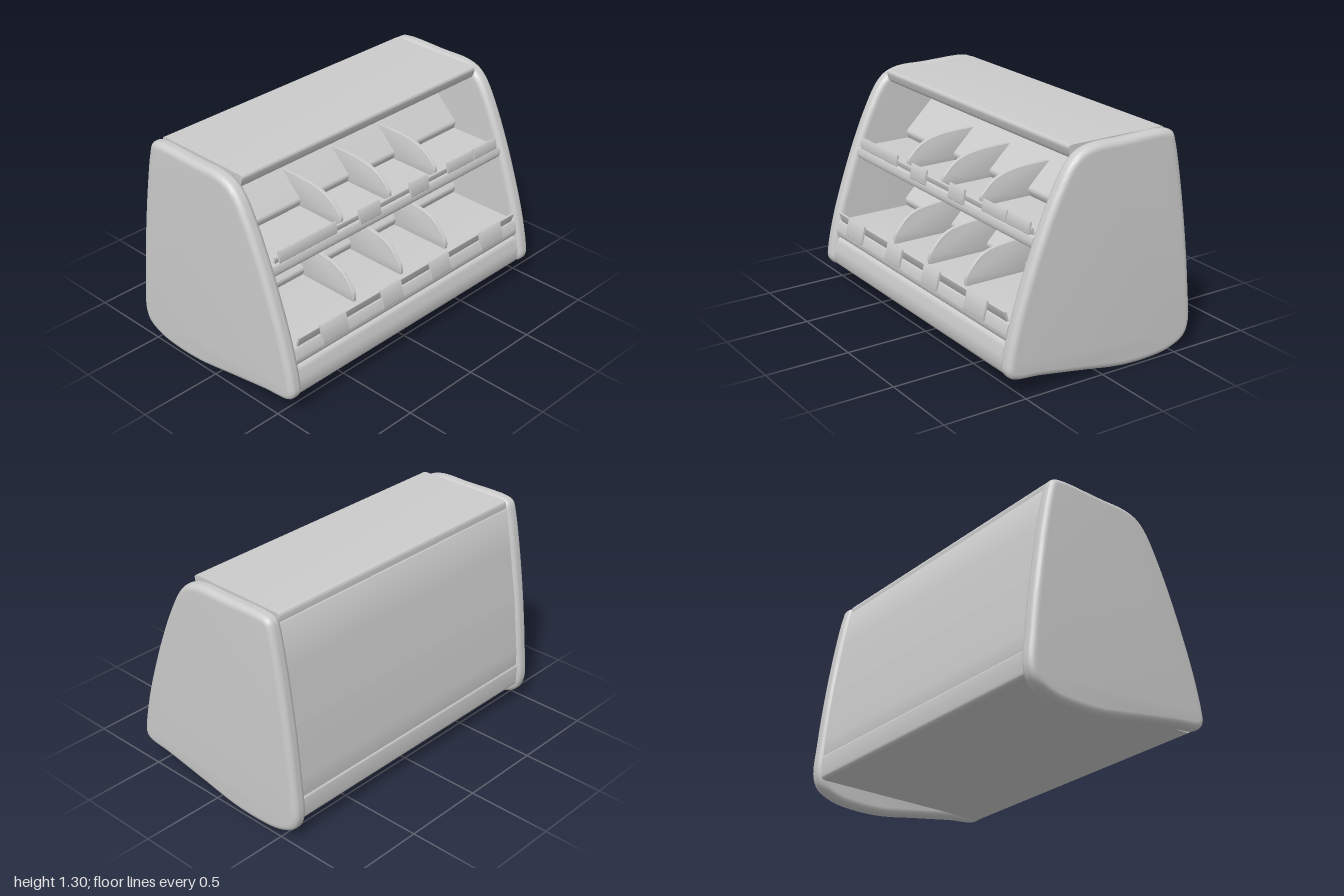
import * as THREE from 'three';
import { toCreasedNormals } from 'three/addons/utils/BufferGeometryUtils.js';

const material = new THREE.MeshStandardMaterial({ color: 0xcccccc, side: THREE.DoubleSide });

// Closed polygon with corners [x, y, radius] softened by short curves.
function roundedShape(corners) {
  const shape = new THREE.Shape();
  corners.forEach(([x, y, r = 0.008], i) => {
    const here = new THREE.Vector2(x, y);
    const n = corners.length;
    const toward = ([px, py]) => {
      const d = new THREE.Vector2(px, py).sub(here);
      return here.clone().add(d.setLength(Math.min(r, d.length() * 0.49)));
    };
    const a = toward(corners[(i + n - 1) % n]);
    const b = toward(corners[(i + 1) % n]);
    if (i === 0) shape.moveTo(a.x, a.y);
    else shape.lineTo(a.x, a.y);
    shape.quadraticCurveTo(x, y, b.x, b.y);
  });
  shape.closePath();
  return shape;
}

// Side profile extruded along z, centred on z.
function slab(name, shape, depth, z = 0, bevel = 0) {
  const geometry = new THREE.ExtrudeGeometry(shape, {
    depth: depth - 2 * bevel,
    curveSegments: 6,
    bevelEnabled: bevel > 0,
    bevelSize: bevel,
    bevelThickness: bevel,
    bevelOffset: -bevel,
    bevelSegments: 5,
  });
  geometry.translate(0, 0, -(depth - 2 * bevel) / 2);
  const mesh = new THREE.Mesh(toCreasedNormals(geometry, 0.6), material);
  mesh.name = name;
  mesh.position.z = z;
  return mesh;
}

// Outline of the wooden end panels.
function endPanelShape() {
  const outline = [
    [-0.4, 1.3], [-0.1, 1.3], [0.08, 1.298], [0.17, 1.27], [0.235, 1.21],
    [0.31, 1.08], [0.4, 0.88], [0.49, 0.64], [0.56, 0.42], [0.603, 0.23],
    [0.607, 0.165], [0.575, 0.123], [0.4, 0.097], [0.12, 0.05], [-0.13, 0.008],
    [-0.32, 0.002], [-0.47, 0.02], [-0.575, 0.072], [-0.61, 0.15],
    [-0.597, 0.36], [-0.56, 0.68], [-0.51, 1.0], [-0.465, 1.22], [-0.443, 1.28],
  ].map(([x, y]) => new THREE.Vector3(x, y, 0));
  const curve = new THREE.CatmullRomCurve3(outline, true, 'centripetal');
  return new THREE.Shape(curve.getPoints(110).slice(0, -1).map(p => new THREE.Vector2(p.x, p.y)));
}

// One display shelf: board, front lip, sloping back rest, dividers and label strip.
function shelf(name, { board, rest, divider, strip, tags }) {
  const group = new THREE.Group();
  group.name = name;
  group.add(slab('shelfBoard', roundedShape(board), 1.83));
  group.add(slab('backRest', roundedShape(rest), 1.82));
  for (const z of [-0.38, 0, 0.38]) {
    group.add(slab('divider', roundedShape(divider), 0.022, z, 0.004));
  }
  // liner sheet standing up behind the front edge
  group.add(slab('linerStrip', roundedShape(strip), 1.78));
  for (const [z, width, profile] of tags) {
    group.add(slab('labelHolder', roundedShape(profile), width, z));
  }
  return group;
}

export function createModel() {
  const model = new THREE.Group();
  const WIDTH = 1.83;

  // End panels
  for (const side of [1, -1]) {
    model.add(slab(side > 0 ? 'frontEndPanel' : 'rearEndPanel', endPanelShape(), 0.09, side * 0.955, 0.036));
  }

  // Top board with rounded nose
  model.add(slab('topBoard', roundedShape([
    [-0.44, 1.215, 0.015], [0.17, 1.215, 0.03], [0.195, 1.297, 0.03], [-0.435, 1.297, 0.02],
  ]), WIDTH));

  // Sloping back panel
  model.add(slab('backPanel', roundedShape([
    [-0.4, 1.25], [-0.445, 1.25], [-0.49, 1.0], [-0.543, 0.68], [-0.58, 0.36],
    [-0.588, 0.24], [-0.53, 0.24], [-0.49, 0.68], [-0.43, 1.0],
  ]), WIDTH));

  // Base plinth, with the rear skirting and front kick board
  model.add(slab('base', roundedShape([
    [-0.59, 0.115, 0.03], [0.58, 0.115, 0.04], [0.592, 0.2, 0.03], [0.565, 0.3, 0.03], [-0.596, 0.265, 0.025],
  ]), WIDTH));

  // Label holder profiles
  const lowTag = [[0.56, 0.475], [0.572, 0.48], [0.6, 0.372], [0.588, 0.366]];
  const highTag = [[0.39, 0.915], [0.403, 0.92], [0.42, 0.832], [0.408, 0.828]];
  const highFlap = [[0.385, 0.915], [0.398, 0.92], [0.41, 0.85], [0.398, 0.848]];

  model.add(shelf('lowerShelf', {
    board: [[-0.53, 0.3], [0.56, 0.3, 0.02], [0.572, 0.34, 0.02], [0.55, 0.41, 0.02], [-0.53, 0.41]],
    rest: [[0.07, 0.4], [0.09, 0.45, 0.02], [-0.13, 0.67, 0.03], [-0.5, 0.69], [-0.5, 0.4]],
    divider: [[-0.1, 0.4], [0.47, 0.4, 0.02], [0.475, 0.46, 0.03], [0.37, 0.585, 0.12], [0.2, 0.61, 0.08], [-0.1, 0.61]],
    strip: [[0.53, 0.4], [0.543, 0.4], [0.562, 0.465], [0.55, 0.468]],
    tags: [[0.65, 0.19, lowTag], [0.2, 0.16, lowTag], [-0.2, 0.16, lowTag], [-0.65, 0.19, lowTag]],
  }));

  model.add(shelf('upperShelf', {
    board: [[-0.5, 0.78], [0.405, 0.78, 0.015], [0.412, 0.81, 0.015], [0.4, 0.85, 0.015], [-0.49, 0.85]],
    rest: [[0.05, 0.84], [0.07, 0.89, 0.02], [-0.22, 1.17, 0.03], [-0.25, 1.22], [-0.44, 1.22], [-0.48, 0.84]],
    divider: [[-0.15, 0.84], [0.36, 0.84, 0.02], [0.38, 0.9, 0.03], [0.28, 1.0, 0.12], [0.12, 1.03, 0.08], [-0.15, 1.03]],
    strip: [[0.375, 0.84], [0.388, 0.84], [0.395, 0.885], [0.383, 0.888]],
    tags: [[0.66, 0.42, highFlap], [0.2, 0.16, highTag], [-0.2, 0.15, highTag], [-0.56, 0.22, highFlap], [-0.78, 0.2, highFlap]],
  }));

  return model;
}
